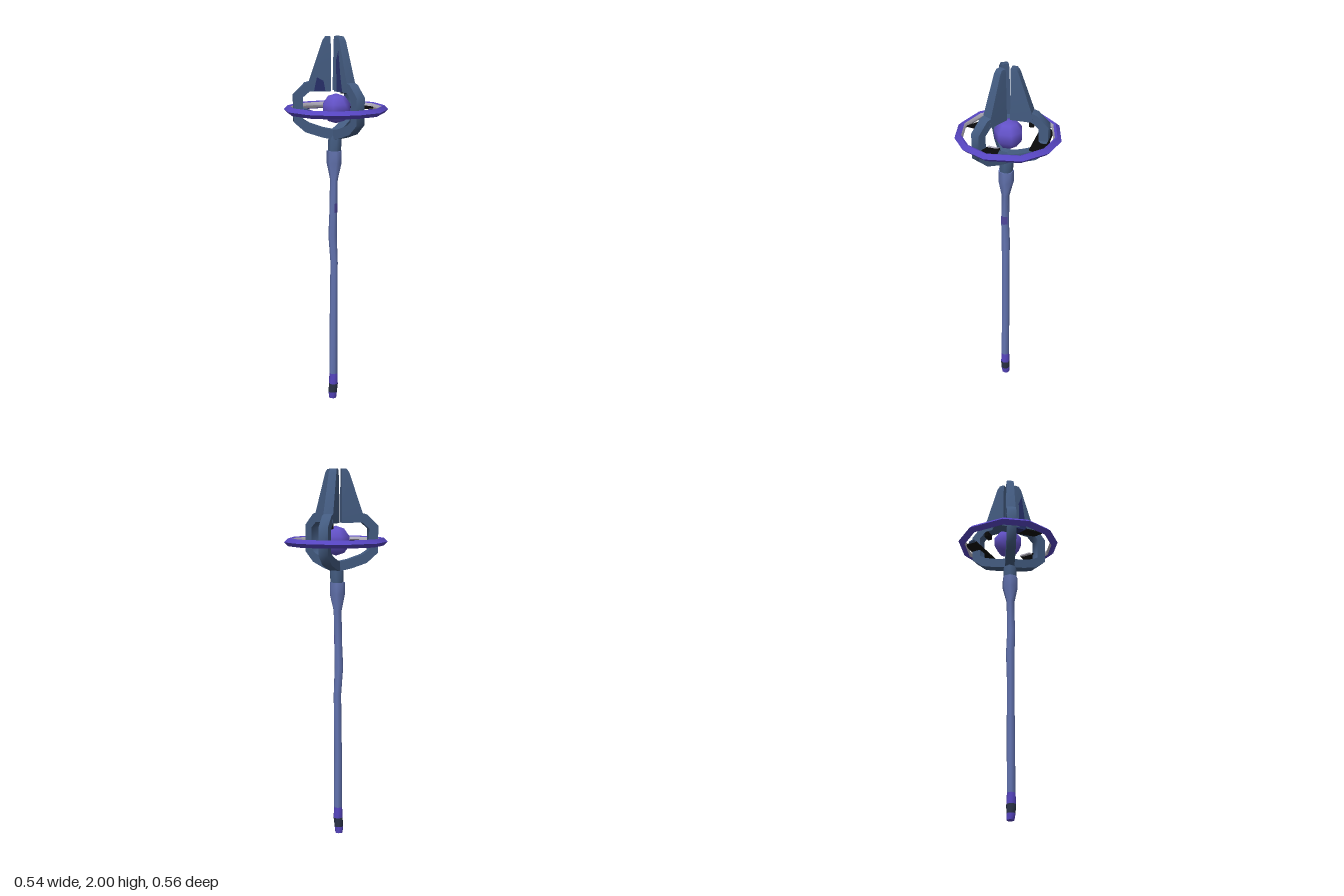
import * as THREE from 'three';
import { toCreasedNormals } from 'three/addons/utils/BufferGeometryUtils.js';

const mat = (name, color) => Object.assign(new THREE.MeshStandardMaterial({ color }), { name });

// Skin over a row of cross-sections; soft along the rounds, sharp at right angles.
function loft(rings, { closed = true, capStart = false, capEnd = false } = {}) {
  const pos = [];
  const tri = (a, b, c) => pos.push(...a, ...b, ...c);
  const n = rings[0].length;
  for (let i = 0; i < rings.length - 1; i++) {
    for (let j = 0; j < (closed ? n : n - 1); j++) {
      const k = (j + 1) % n, lo = rings[i], hi = rings[i + 1];
      tri(lo[j], hi[j], lo[k]);
      tri(lo[k], hi[j], hi[k]);
    }
  }
  const first = rings[0], last = rings[rings.length - 1];
  for (let k = 1; k < n - 1; k++) {
    if (capStart) tri(first[0], first[k], first[k + 1]);
    if (capEnd) tri(last[0], last[k + 1], last[k]);
  }
  const geo = new THREE.BufferGeometry();
  geo.setAttribute('position', new THREE.Float32BufferAttribute(pos, 3));
  return toCreasedNormals(geo, 1);
}

// Horizontal polygon round a slightly wandering shaft: [y, radius, x, z]
const shaftRing = ([y, r, x, z]) => Array.from({ length: 7 }, (_, i) => {
  const a = (i / 7) * Math.PI * 2;
  return [x + r * Math.cos(a), y, z + r * Math.sin(a)];
});

// Square-section bar along a path in the radial plane: [radius, y, half thickness]
function bar(path, halfWidth) {
  const rings = path.map(([x, y, h], i) => {
    const a = path[Math.max(i - 1, 0)], b = path[Math.min(i + 1, path.length - 1)];
    const t = new THREE.Vector2(b[0] - a[0], b[1] - a[1]).normalize();
    return [[1, -1], [1, 1], [-1, 1], [-1, -1]].map(([u, v]) =>
      [x + t.y * h * u, y - t.x * h * u, halfWidth * v]);
  });
  return loft(rings, { capStart: true, capEnd: true });
}

// Thin horizontal plate from [x, z] corners
function plate(points, y = 1.607) {
  const shape = new THREE.Shape(points.map(([x, z]) => new THREE.Vector2(x, -z)));
  const geo = new THREE.ExtrudeGeometry(shape, { depth: 0.008, bevelEnabled: false });
  return geo.rotateX(-Math.PI / 2).translate(0, y, 0);
}

export function createModel() {
  const model = new THREE.Group();
  const shaftBlue = mat('shaftBlue', 0x6475b2);
  const steelBlue = mat('steelBlue', 0x435b80);
  const violet = mat('violet', 0x5645c0);
  const orbViolet = mat('orbViolet', 0x6352c8);
  const dullViolet = mat('dullViolet', 0x4f469c);
  const navy = mat('navy', 0x27306a);
  const slate = mat('slate', 0x2b3348);
  const black = mat('black', 0x0a0a0b);
  const paleGrey = mat('paleGrey', 0xb0adba);
  const add = (parent, name, geo, material) => {
    const mesh = new THREE.Mesh(geo, material);
    mesh.name = name;
    parent.add(mesh);
    return mesh;
  };

  // Shaft, bottom to top
  const section = (name, material, rows, caps) => add(model, name, loft(rows.map(shaftRing), caps), material);
  section('footTip', violet, [[0, 0.021, -0.012, 0.02], [0.035, 0.024, -0.01, 0.022]], { capStart: true });
  section('footBand', slate, [[0.035, 0.024, -0.01, 0.022], [0.085, 0.026, -0.006, 0.022]]);
  section('footCollar', violet, [[0.085, 0.026, -0.006, 0.022], [0.145, 0.023, -0.006, 0.022]]);
  section('shaft', shaftBlue, [
    [0.145, 0.023, -0.006, 0.022], [0.45, 0.022, -0.006, 0.02], [0.78, 0.021, -0.003, 0.018],
    [0.93, 0.024, -0.011, 0.02], [1.06, 0.022, -0.006, 0.022], [1.24, 0.022, -0.004, 0.018],
    [1.33, 0.042, -0.003, 0.015], [1.395, 0.042, -0.003, 0.015]], { capEnd: true });
  section('neck', steelBlue, [
    [1.385, 0.036, -0.002, 0.014], [1.45, 0.038, 0, 0.012], [1.5, 0.028, 0, 0.01]], { capEnd: true });

  // Painted grip mark on the left side of the shaft
  const gripRows = [[1.06, 0.0235, -0.005, 0.022], [1.11, 0.0235, -0.005, 0.022]];
  const gripRings = gripRows.map(shaftRing).map((ring) => [ring[6], ring[0], ring[1]]);
  add(model, 'gripMark', loft(gripRings, { closed: false }), dullViolet);

  // Three claws, each an arm that carries an upright blade
  const arm = bar([[0, 1.48, 0.026], [0.07, 1.495, 0.025], [0.15, 1.522, 0.026], [0.198, 1.56, 0.026],
    [0.2, 1.69, 0.026], [0.15, 1.737, 0.025], [0.09, 1.755, 0.024]], 0.026);
  const bladeRing = (y, inner, outer, w) => [[outer, y, -w], [outer, y, w], [inner, y, w], [inner, y, -w]];
  const blade = loft([bladeRing(1.715, 0.026, 0.147, 0.027), bladeRing(1.77, 0.026, 0.137, 0.027),
    bladeRing(1.98, 0.026, 0.066, 0.021), bladeRing(2, 0.026, 0.052, 0.018)], { capStart: true, capEnd: true });
  const claws = [0, 1, 2].map((i) => {
    const claw = new THREE.Group();
    claw.name = 'claw';
    claw.position.z = 0.01;
    claw.rotation.y = Math.PI / 2 + (i * Math.PI * 2) / 3;
    add(claw, 'clawArm', arm, steelBlue);
    add(claw, 'blade', blade, steelBlue);
    model.add(claw);
    return claw;
  });
  const [backClaw, rightClaw, leftClaw] = claws;
  add(backClaw, 'bladeHeel', new THREE.BoxGeometry(0.024, 0.03, 0.05).translate(0.136, 1.702, 0), black);

  // Painted patches on the front sides of the forward blades: [radius, y] corners
  const patch = (points) => new THREE.ShapeGeometry(new THREE.Shape(points.map((p) => new THREE.Vector2(...p))));
  add(leftClaw, 'bladePatch', patch(
    [[0.05, 1.718], [0.1, 1.718], [0.085, 1.79], [0.066, 1.93], [0.045, 1.88]]), navy).position.z = 0.0278;
  const rightPatch = add(rightClaw, 'bladePatch', patch(
    [[-0.115, 1.718], [-0.055, 1.718], [-0.065, 1.77], [-0.1, 1.79]]), navy);
  rightPatch.rotation.y = Math.PI;
  rightPatch.position.z = -0.0278;

  // Floating orb
  add(model, 'orb', new THREE.SphereGeometry(0.08, 7, 5), orbViolet).position.set(0, 1.62, 0);

  // Uneven eleven-sided halo: violet shell with a pale inner wall
  const angles = [0, 34, 68, 111, 142, 174, 203, 229, 259, 299, 332, 360];
  const halo = (profile) => loft(angles.map((deg) => {
    const a = THREE.MathUtils.degToRad(deg);
    return profile.map(([r, y]) => [-r * Math.sin(a), 1.614 + y, -r * Math.cos(a)]);
  }), { closed: false });
  add(model, 'haloShell', halo([[0.245, -0.016], [0.258, -0.021], [0.28, 0], [0.258, 0.021], [0.245, 0.016]]), violet);
  add(model, 'haloInnerWall', halo([[0.245, 0.016], [0.236, 0], [0.245, -0.016]]), paleGrey);

  // Flat plates between claws and halo
  add(model, 'backPlateEnd', plate(
    [[-0.14, -0.145], [-0.115, -0.144], [-0.112, -0.19], [-0.125, -0.18]]), steelBlue);
  add(model, 'backPlate', plate(
    [[-0.115, -0.144], [0.12, -0.14], [0.14, -0.19], [0.07, -0.225], [-0.105, -0.215]]), black);
  add(model, 'backPlatePatch', plate(
    [[-0.03, -0.175], [0.03, -0.165], [0.05, -0.185], [0.045, -0.212], [-0.03, -0.212]], 1.608), steelBlue);
  add(model, 'leftPlateEdge', plate(
    [[0.145, 0.005], [0.158, 0.02], [0.155, 0.075], [0.138, 0.065]]), paleGrey);
  add(model, 'leftPlate', plate(
    [[0.145, 0.005], [0.215, 0.005], [0.215, 0.06], [0.17, 0.11], [0.155, 0.075], [0.158, 0.02]]), black);
  add(model, 'rightPlateEnd', plate(
    [[-0.19, 0], [-0.24, 0.045], [-0.17, 0.11], [-0.13, 0.065]]), steelBlue);
  add(model, 'rightPlateMiddle', plate(
    [[-0.13, 0.065], [-0.17, 0.11], [-0.11, 0.165], [-0.09, 0.105]]), navy);
  add(model, 'rightPlate', plate(
    [[-0.09, 0.105], [-0.11, 0.165], [-0.03, 0.235], [-0.02, 0.175]]), black);

  return model;
}
